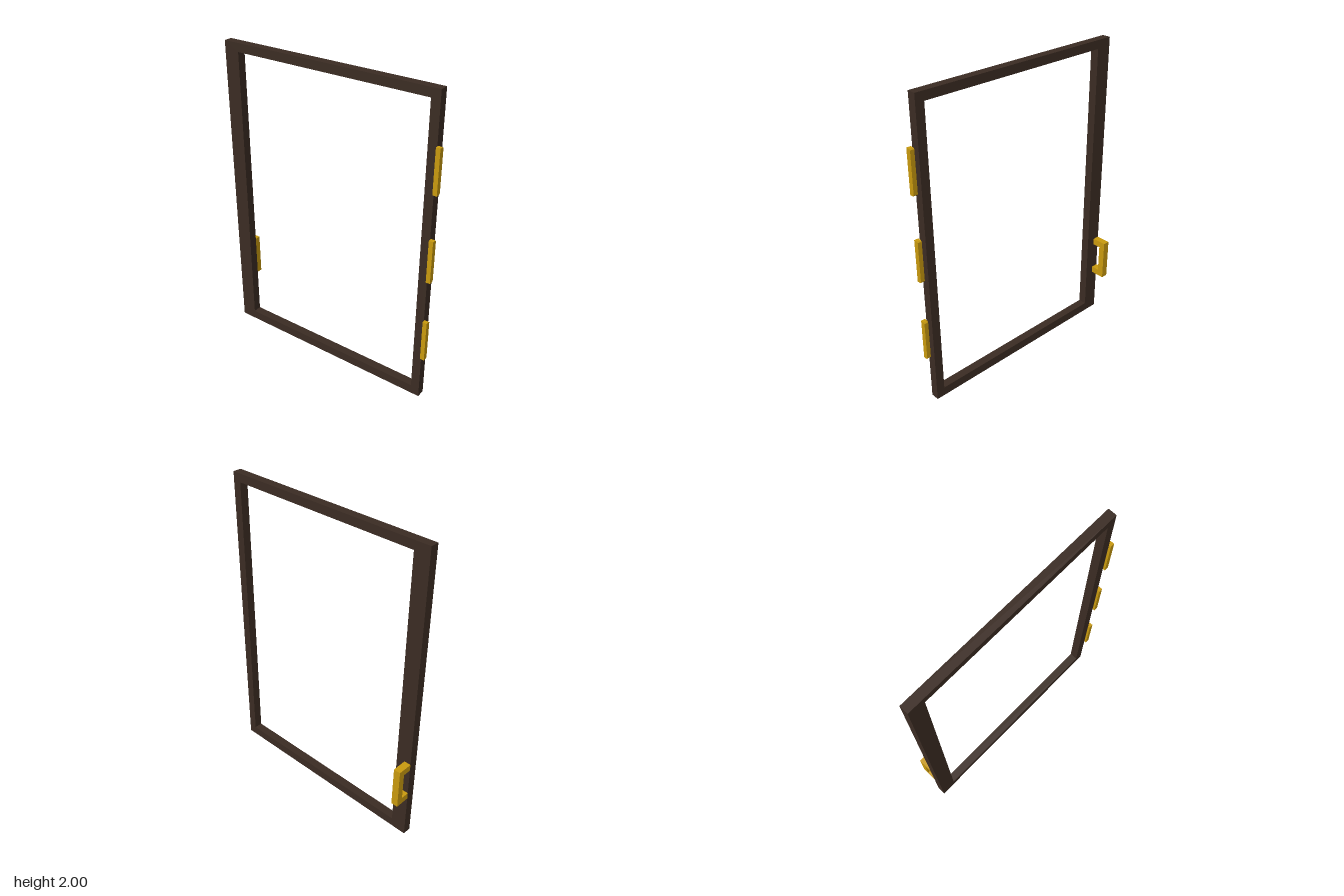
import * as THREE from 'three';

export function createModel() {
  const model = new THREE.Group();
  model.name = 'doorFrame';
  const wood = new THREE.MeshStandardMaterial({ color: 0x3b2c23 });
  wood.name = 'dark wood';
  const brass = new THREE.MeshStandardMaterial({ color: 0xc99a0e });
  brass.name = 'brass';

  const shapeOf = (points) => new THREE.Shape(points.map(([x, y]) => new THREE.Vector2(x, y)));
  const add = (name, geometry, material) => {
    const mesh = new THREE.Mesh(geometry, material);
    mesh.name = name;
    model.add(mesh);
    return mesh;
  };
  const extrude = (shape, depth) => new THREE.ExtrudeGeometry(shape, { depth, bevelEnabled: false });

  // Rectangular frame with a wider stile on the handle side (shape x becomes -z)
  const outline = shapeOf([[-0.715, 0], [0.742, 0], [0.742, 2], [-0.715, 2]]);
  outline.holes.push(new THREE.Path([[-0.659, 0.06], [-0.659, 1.945], [0.64, 1.945], [0.64, 0.06]]
    .map(([x, y]) => new THREE.Vector2(x, y))));
  const frame = add('frame', extrude(outline, 0.055), wood);
  frame.rotation.y = Math.PI / 2;
  frame.position.x = -0.07;

  // Three hinge plates on the front edge, with clipped inner corners
  const c = 0.007;
  const hingeShape = shapeOf([[-0.085, 0], [-0.053 - c, 0], [-0.053, c],
    [-0.053, 0.275 - c], [-0.053 - c, 0.275], [-0.085, 0.275]]);
  [0.31, 0.865, 1.42].forEach((y, i) => {
    add('hinge' + (i + 1), extrude(hingeShape, 0.027), brass).position.set(0, y, 0.715);
  });

  // C-shaped pull handle on the wide stile
  const handleShape = shapeOf([[-0.015, 0.31], [0.083, 0.31], [0.083, 0.585], [-0.015, 0.585],
    [-0.015, 0.541], [0.041, 0.541], [0.041, 0.354], [-0.015, 0.354]]);
  add('handle', extrude(handleShape, 0.045), brass).position.z = -0.742;

  return model;
}
